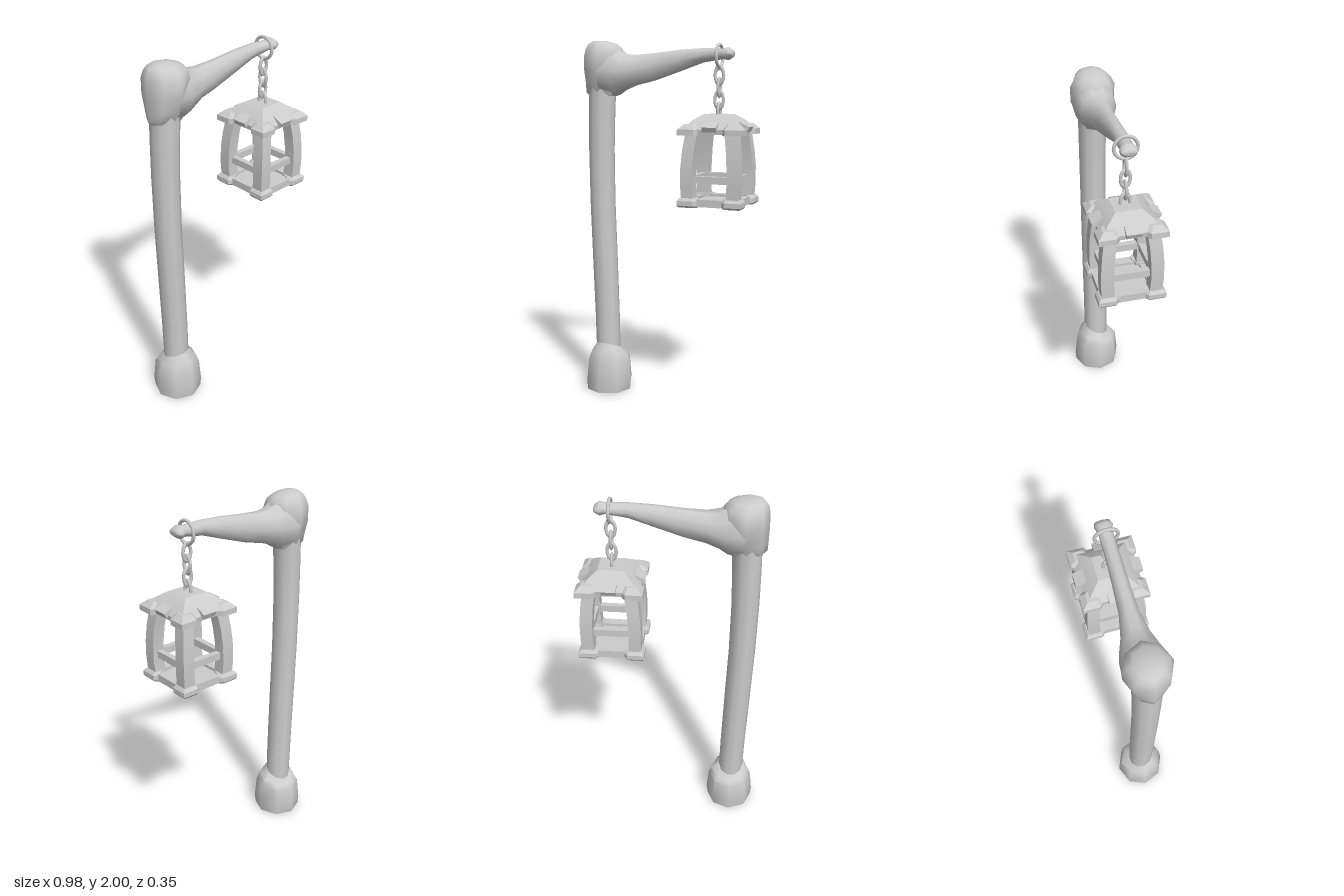
import * as THREE from 'three';
import { toCreasedNormals } from 'three/addons/utils/BufferGeometryUtils.js';

const material = new THREE.MeshStandardMaterial({ color: 0xcccccc });

function add(parent, name, geometry) {
  const mesh = new THREE.Mesh(geometry, material);
  mesh.name = name;
  parent.add(mesh);
  return mesh;
}

// Skins a list of equal-length point rings and caps both ends
function loft(rings, crease) {
  const n = rings[0].length;
  const pos = rings.flat(2);
  const index = [];
  for (let i = 0; i < rings.length - 1; i++) {
    for (let j = 0; j < n; j++) {
      const a = i * n + j, b = i * n + (j + 1) % n;
      index.push(a, a + n, b, b, a + n, b + n);
    }
  }
  [0, rings.length - 1].forEach((r, end) => {
    const c = pos.length / 3;
    for (let k = 0; k < 3; k++) pos.push(rings[r].reduce((s, p) => s + p[k], 0) / n);
    for (let j = 0; j < n; j++) {
      const a = r * n + j, b = r * n + (j + 1) % n;
      if (end) index.push(c, b, a); else index.push(c, a, b);
    }
  });
  const g = new THREE.BufferGeometry();
  g.setAttribute('position', new THREE.Float32BufferAttribute(pos, 3));
  g.setIndex(index);
  return toCreasedNormals(g, crease);
}

// Horizontal ring for upright parts; lift raises the +z side
function ringY(y, cx, rx, rz, n, lift = 0) {
  return Array.from({ length: n }, (_, j) => {
    const a = j / n * Math.PI * 2;
    return [cx + rx * Math.cos(a), y + lift * Math.sin(a), rz * Math.sin(a)];
  });
}

// Upright ring for the arm, given its top, bottom and half depth
function ringX(x, top, bottom, hz, n) {
  return Array.from({ length: n }, (_, j) => {
    const a = j / n * Math.PI * 2;
    return [x, (top + bottom) / 2 + (top - bottom) / 2 * Math.sin(a), hz * Math.cos(a)];
  });
}

const square = (y, h, cx = 0, cz = 0) =>
  [[h, -h], [h, h], [-h, h], [-h, -h]].map(([x, z]) => [cx + x, y, cz + z]);

// Corner piece with splayed ends, inset on its outer sides
const corner = (y, inset, inner) => {
  const o = 0.175 - inset, e = 0.085 + inset * 0.4;
  return [[0.15 - inset, e - 0.02], [o, e], [o, o], [e, o], [e - 0.02, 0.15 - inset], [inner, inner]]
    .map(([x, z]) => [x, y, z]);
};

function makeLantern() {
  const lantern = new THREE.Group();
  lantern.name = 'lantern';

  // Floor and its raised rim
  add(lantern, 'floor', new THREE.BoxGeometry(0.3, 0.025, 0.3)).position.y = 1.1375;

  // Roof
  add(lantern, 'roof', loft([
    square(1.505, 0.152), square(1.53, 0.155), square(1.545, 0.14),
    square(1.577, 0.11), square(1.607, 0.066)], 0.3));

  // Four repeated corners and sides
  for (let i = 0; i < 4; i++) {
    const side = new THREE.Group();
    side.name = 'lanternSide';
    side.rotation.y = i * Math.PI / 2;
    lantern.add(side);

    add(side, 'baseCorner', loft([
      corner(1.12, 0.008, 0.09), corner(1.13, 0, 0.09),
      corner(1.155, 0, 0.09), corner(1.17, 0.012, 0.09)], 0.3));
    add(side, 'baseRim', new THREE.BoxGeometry(0.2, 0.04, 0.05)).position.set(0, 1.145, 0.13);
    add(side, 'roofCorner', loft([
      corner(1.5, 0, 0.1), corner(1.53, 0, 0.1), corner(1.557, 0.03, 0.1)], 0.3));

    // Bowed corner pillar
    const pillar = [[1.15, 0.123], [1.24, 0.128], [1.33, 0.127], [1.42, 0.12], [1.52, 0.106]];
    add(side, 'pillar', loft(pillar.map(([y, d]) => square(y, 0.033, d, d)), 0.5));

    add(side, 'crossbar', new THREE.BoxGeometry(0.21, 0.038, 0.032)).position.set(0, 1.265, 0.118);

    // Tab lying on the roof edge
    const tab = add(side, 'roofTab', new THREE.BoxGeometry(0.078, 0.028, 0.062));
    tab.position.set(0, 1.543, 0.143);
    tab.rotation.x = 0.45;
  }
  return lantern;
}

export function createModel() {
  const model = new THREE.Group();
  model.name = 'lanternPost';

  // Foot with a slanted upper rim
  add(model, 'foot', loft([
    ringY(0, -0.352, 0.132, 0.134, 8), ringY(0.05, -0.352, 0.138, 0.139, 8),
    ringY(0.18, -0.35, 0.126, 0.127, 8), ringY(0.215, -0.35, 0.11, 0.11, 8, 0.015),
    ringY(0.25, -0.354, 0.074, 0.076, 8, 0.035)], 0.9));

  // Slightly bowed post
  const post = [[0.12, -0.352, 0.07], [0.45, -0.359, 0.071], [0.8, -0.37, 0.072],
    [1.1, -0.38, 0.072], [1.4, -0.383, 0.073], [1.6, -0.379, 0.075], [1.76, -0.373, 0.077]];
  add(model, 'post', loft(post.map(([y, cx, r]) => ringY(y, cx, r, r, 10)), 1));

  // Knobbed head
  const head = [[1.7, -0.365, 0.085, 0.06], [1.72, -0.372, 0.104, 0.072], [1.77, -0.366, 0.112, 0.09],
    [1.84, -0.362, 0.117, 0.117], [1.92, -0.36, 0.117, 0.12], [1.96, -0.36, 0.11, 0.1],
    [1.985, -0.37, 0.085, 0.075], [2, -0.385, 0.04, 0.04]];
  add(model, 'head', loft(head.map(([y, cx, rx, rz]) => ringY(y, cx, rx, rz, 8)), 1.1));

  // Tapering arm with a small knob at the tip
  const arm = [[-0.36, 1.975, 1.7, 0.115], [-0.28, 1.97, 1.7, 0.108], [-0.235, 1.935, 1.73, 0.095],
    [-0.17, 1.926, 1.755, 0.07], [-0.06, 1.933, 1.78, 0.047], [0.1, 1.948, 1.833, 0.039],
    [0.22, 1.953, 1.875, 0.036], [0.335, 1.948, 1.892, 0.035], [0.36, 1.955, 1.885, 0.046],
    [0.385, 1.938, 1.902, 0.038], [0.39, 1.93, 1.91, 0.025]];
  add(model, 'arm', loft(arm.map(([x, t, b, hz]) => ringX(x, t, b, hz, 10)), 1));

  // Ring around the arm and the hanging chain
  const ring = add(model, 'armRing', new THREE.TorusGeometry(0.058, 0.009, 8, 20));
  ring.position.set(0.312, 1.91, 0);
  ring.rotation.y = Math.PI / 2;
  const linkGeometry = new THREE.TorusGeometry(0.024, 0.0085, 8, 16);
  linkGeometry.scale(1, 1.75, 1);
  for (let i = 0; i < 4; i++) {
    const link = add(model, 'chainLink', linkGeometry);
    link.position.set(0.312, 1.81 - i * 0.064, 0);
    link.rotation.y = i % 2 ? Math.PI / 2 : 0;
  }

  const lantern = makeLantern();
  lantern.position.x = 0.314;
  model.add(lantern);
  return model;
}
